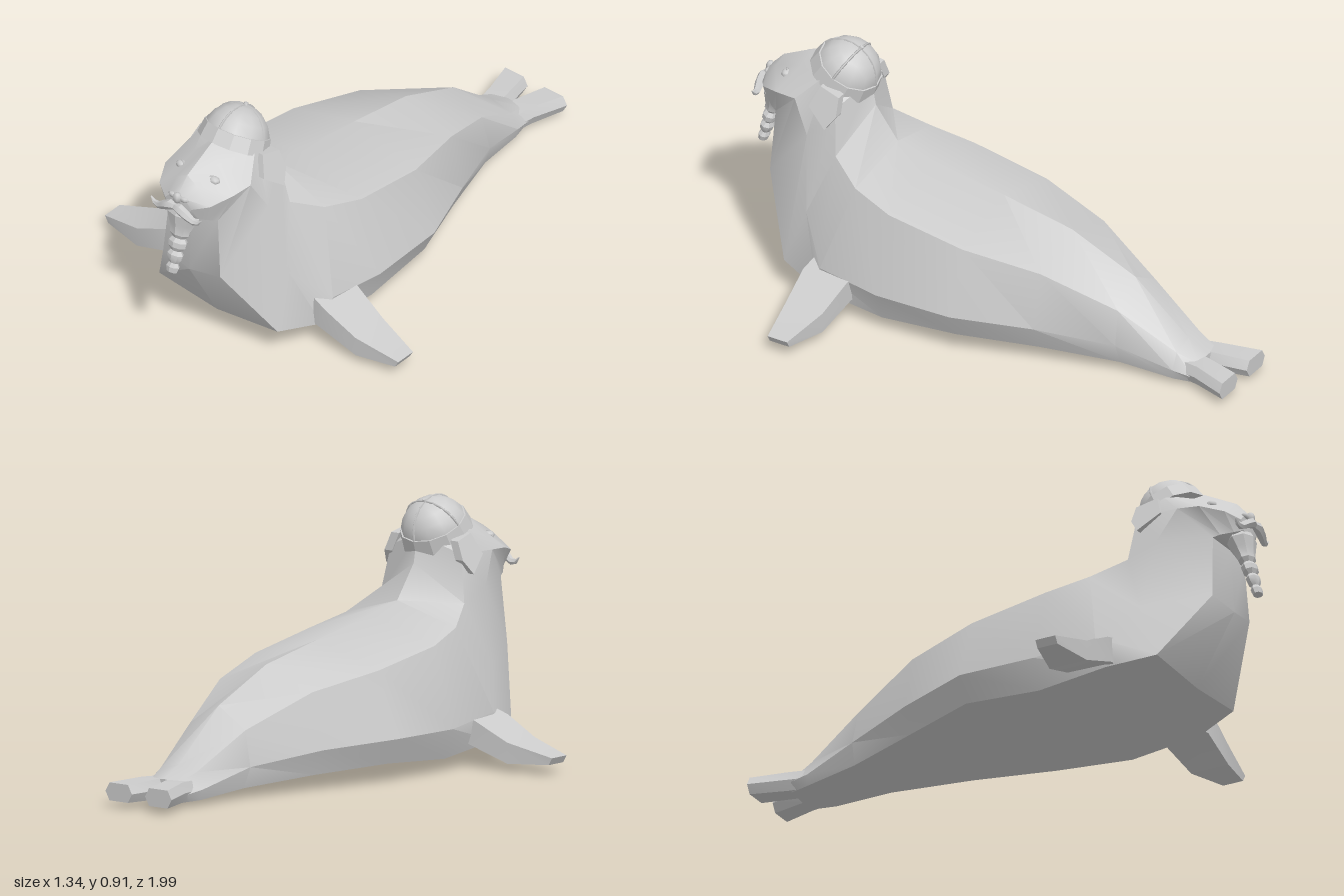
import * as THREE from 'three';
import { toCreasedNormals } from 'three/addons/utils/BufferGeometryUtils.js';

const grey = new THREE.MeshStandardMaterial({ color: 0xcccccc });

// Skin closed rings of [x, y, z]; rings run counter-clockwise seen from the last ring's side.
function loft(rings, crease = 0.6) {
  const n = rings[0].length, pos = rings.flat(2), index = [];
  for (let i = 0; i < rings.length - 1; i++) {
    for (let j = 0; j < n; j++) {
      const a = i * n + j, b = i * n + (j + 1) % n;
      index.push(a, b, b + n, a, b + n, a + n);
    }
  }
  [0, rings.length - 1].forEach((r, end) => {
    const c = pos.length / 3;
    for (let k = 0; k < 3; k++) pos.push(rings[r].reduce((s, p) => s + p[k], 0) / n);
    for (let j = 0; j < n; j++) {
      const a = r * n + j, b = r * n + (j + 1) % n;
      index.push(c, end ? a : b, end ? b : a);
    }
  });
  const g = new THREE.BufferGeometry();
  g.setAttribute('position', new THREE.Float32BufferAttribute(pos, 3));
  g.setIndex(index);
  return toCreasedNormals(g, crease);
}

const mirrorRings = rings => rings.map(r => r.map(([x, y, z]) => [-x, y, z]).reverse());

function add(parent, name, geometry, x = 0, y = 0, z = 0) {
  const m = new THREE.Mesh(geometry, grey);
  m.name = name;
  m.position.set(x, y, z);
  parent.add(m);
  return m;
}

function addPair(parent, name, rings, crease) {
  add(parent, 'left' + name, loft(rings, crease));
  add(parent, 'right' + name, loft(mirrorRings(rings), crease));
}

// Ring across the body: centre line from top to keel, with half-widths at three fractions of it.
function bodyRing([zt, yt, zb, yb, we, te, ws, ts, wl, tl]) {
  const at = (x, t) => [x, yt + (yb - yt) * t, zt + (zb - zt) * t];
  return [at(0, 0), at(-we, te), at(-ws, ts), at(-wl, tl), at(0, 1), at(wl, tl), at(ws, ts), at(we, te)];
}

export function createModel() {
  const model = new THREE.Group();
  model.name = 'seal';

  // Body, neck and head, from tail to muzzle
  add(model, 'body', loft([
    [-0.86, 0.10, -0.86, 0.015, 0.06, 0.10, 0.10, 0.55, 0.08, 0.90],
    [-0.78, 0.14, -0.78, 0.012, 0.08, 0.15, 0.11, 0.60, 0.10, 0.90],
    [-0.56, 0.32, -0.58, 0.012, 0.125, 0.24, 0.155, 0.65, 0.13, 0.90],
    [-0.30, 0.43, -0.30, 0.012, 0.21, 0.18, 0.26, 0.66, 0.22, 0.88],
    [-0.02, 0.48, -0.02, 0.02, 0.28, 0.17, 0.365, 0.68, 0.32, 0.88],
    [0.28, 0.53, 0.28, 0.005, 0.285, 0.155, 0.37, 0.70, 0.33, 0.91],
    [0.42, 0.56, 0.56, 0.045, 0.25, 0.14, 0.355, 0.72, 0.33, 0.93],
    [0.51, 0.68, 0.73, 0.09, 0.19, 0.22, 0.25, 0.60, 0.27, 0.96],
    [0.53, 0.78, 0.88, 0.35, 0.16, 0.14, 0.19, 0.42, 0.13, 0.96],
    [0.62, 0.84, 0.865, 0.59, 0.11, 0.12, 0.165, 0.50, 0.11, 0.96],
    [0.76, 0.83, 0.89, 0.59, 0.06, 0.20, 0.155, 0.50, 0.10, 0.92],
    [0.89, 0.765, 0.92, 0.61, 0.045, 0.15, 0.115, 0.50, 0.07, 0.92],
    [0.94, 0.71, 0.94, 0.63, 0.03, 0.10, 0.06, 0.50, 0.04, 0.92],
  ].map(bodyRing)));

  // Front flippers: x top, x bottom, y top, y bottom, z front, z back
  addPair(model, 'FrontFlipper', [
    [0.30, 0.28, 0.20, 0.09, 0.57, 0.38],
    [0.37, 0.34, 0.175, 0.09, 0.58, 0.40],
    [0.50, 0.50, 0.11, 0.035, 0.57, 0.42],
    [0.67, 0.655, 0.068, 0.042, 0.54, 0.46],
  ].map(([xt, xb, yt, yb, zf, zb]) => [
    [xb, yb, zf], [xb, yb, zb], [xt, yt, zb], [xt, yt, zf],
  ]), 0.35);

  // Tail flippers: centre x, half width, centre y, half height, z
  addPair(model, 'TailFlipper', [
    [0.05, 0.045, 0.06, 0.035, -0.80],
    [0.056, 0.052, 0.063, 0.036, -0.87],
    [0.09, 0.06, 0.06, 0.032, -1.0],
  ].map(([x, w, y, h, z]) => [
    [x + w, y, z], [x + w * 0.7, y - h, z], [x - w * 0.7, y - h, z],
    [x - w, y, z], [x - w * 0.7, y + h, z], [x + w * 0.7, y + h, z],
  ]), 0.35);

  // Cap tipped back on the head, with band, crossing seams and button
  const hat = new THREE.Group();
  hat.name = 'hat';
  hat.position.set(0, 0.785, 0.63);
  hat.rotation.x = -0.5;
  model.add(hat);
  add(hat, 'hatDome', new THREE.SphereGeometry(0.122, 12, 5, 0, Math.PI * 2, 0, Math.PI / 2));
  const band = new THREE.CylinderGeometry(0.122, 0.132, 0.055, 12);
  add(hat, 'hatBand', toCreasedNormals(band, 0.3), 0, 0.005, 0);
  for (let i = 0; i < 2; i++) {
    const seam = add(hat, 'hatSeam', new THREE.TorusGeometry(0.121, 0.005, 4, 12, Math.PI));
    seam.rotation.y = i * Math.PI / 2;
  }
  add(hat, 'hatButton', new THREE.CylinderGeometry(0.007, 0.01, 0.012, 6), 0, 0.125, 0);

  // Ear flaps, flaring outward toward the bottom
  const flap = [[0.60, 0.65], [0.565, 0.70], [0.57, 0.765], [0.65, 0.785], [0.68, 0.71]];
  addPair(model, 'EarFlap', [-0.035, 0].map(d =>
    flap.map(([z, y]) => [0.145 + (0.78 - y) * 0.42 + d, y, z])), 0.3);

  // Eyes with a lid ridge
  for (const s of [1, -1]) {
    const eye = add(model, s > 0 ? 'leftEye' : 'rightEye', new THREE.SphereGeometry(0.02, 8, 6), s * 0.074, 0.745, 0.832);
    eye.scale.set(1.15, 0.75, 0.9);
    const lid = add(model, s > 0 ? 'leftEyelid' : 'rightEyelid', new THREE.TorusGeometry(0.022, 0.004, 4, 8, Math.PI), s * 0.074, 0.743, 0.838);
    lid.rotation.set(-0.5, s * 0.4, 0);
    lid.scale.y = 0.8;
  }

  // Nose with side nostrils
  add(model, 'nose', new THREE.SphereGeometry(0.02, 6, 5), 0, 0.698, 0.945).scale.set(0.9, 1.1, 0.8);
  for (const s of [1, -1]) {
    add(model, 'nostril', new THREE.SphereGeometry(0.018, 6, 4), s * 0.025, 0.697, 0.937).scale.set(1.2, 0.6, 0.7);
  }

  // Moustache halves: x, y, z, radius
  addPair(model, 'Moustache', [
    [-0.004, 0.668, 0.958, 0.012], [0.025, 0.666, 0.96, 0.02], [0.055, 0.65, 0.957, 0.018],
    [0.08, 0.634, 0.952, 0.013], [0.10, 0.636, 0.95, 0.009], [0.115, 0.652, 0.95, 0.003],
  ].map(([x, y, z, r]) => Array.from({ length: 6 }, (_, i) => {
    const a = i * Math.PI / 3;
    return [x, y + r * Math.sin(a), z - r * Math.cos(a)];
  })), 0.7);

  // Beard gathered into a beaded braid
  const braid = [[0, 0], [0.022, 0], [0.027, 0.02], [0.018, 0.035], [0.03, 0.05], [0.033, 0.068],
    [0.022, 0.083], [0.036, 0.098], [0.038, 0.118], [0.026, 0.133], [0.04, 0.148], [0.042, 0.165],
    [0.052, 0.19], [0.068, 0.225], [0.06, 0.245], [0, 0.25]].map(p => new THREE.Vector2(...p));
  const beard = add(model, 'beard', toCreasedNormals(new THREE.LatheGeometry(braid, 8), 0.5), 0, 0.395, 0.975);
  beard.rotation.x = -0.3;
  beard.scale.z = 0.75;

  return model;
}
